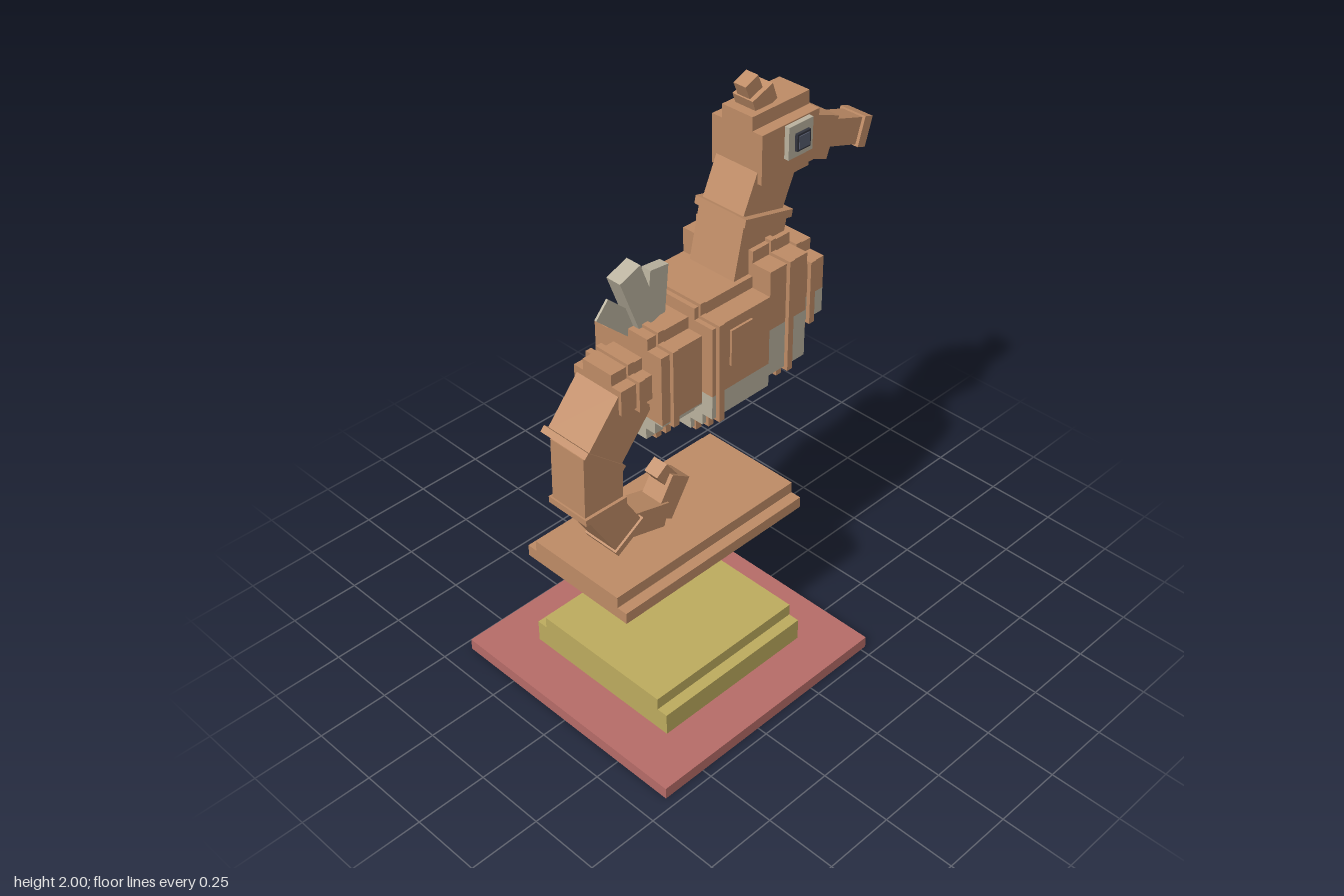
import * as THREE from 'three';

const paint = (name, color) => {
  const m = new THREE.MeshStandardMaterial({ color });
  m.name = name;
  return m;
};

export function createModel() {
  const root = new THREE.Group();
  root.name = 'seahorseStatue';
  const brown = paint('brown', 0xc08d67);
  const pale = paint('paleBelly', 0xbcb4a0);
  const red = paint('redBase', 0xb86d69);
  const yellow = paint('yellowPlinth', 0xbfad5f);
  const dark = paint('darkEyeRim', 0x33353f);
  const slate = paint('slatePupil', 0x565b6e);

  // Axis-aligned box given by its ranges
  const block = (name, mat, x0, x1, y0, y1, z0, z1) => {
    const m = new THREE.Mesh(new THREE.BoxGeometry(x1 - x0, y1 - y0, z1 - z0), mat);
    m.position.set((x0 + x1) / 2, (y0 + y1) / 2, (z0 + z1) / 2);
    m.name = name;
    root.add(m);
  };

  // Box running between two (z, y) points, with an optional collar at its end
  const beam = (name, mat, [z0, y0], [z1, y1], thick, half, collar) => {
    const dz = z1 - z0, dy = y1 - y0;
    const angle = Math.atan2(dz, dy);
    const add = (label, len, t, h, z, y) => {
      const m = new THREE.Mesh(new THREE.BoxGeometry(h * 2, len, t), mat);
      m.position.set(0, y, z);
      m.rotation.x = angle;
      m.name = label;
      root.add(m);
    };
    add(name, Math.hypot(dz, dy), thick, half, (z0 + z1) / 2, (y0 + y1) / 2);
    if (collar) add(name + 'Collar', collar[0], collar[1], collar[2], z1, y1);
  };

  // Slab with stepped corners, pale below the split height
  const stepped = (name, z0, z1, b, t, w, split) => {
    const low = split ? pale : brown;
    const mid = split || (b + t) / 2;
    [
      [b, b + 0.04, w * 0.5, low],
      [b + 0.04, b + 0.08, w * 0.77, low],
      [b + 0.08, mid, w, low],
      [mid, t - 0.04, w, brown],
      [t - 0.04, t, w * 0.6, brown],
    ].forEach(([y0, y1, h, mat]) => block(name, mat, -h, h, y0, y1, z0, z1));
  };

  // Separate base layers
  block('basePlate', red, -0.465, 0.465, 0, 0.042, -0.272, 0.661);
  block('plinthLower', yellow, -0.304, 0.304, 0.042, 0.122, -0.11, 0.499);
  block('plinthUpper', yellow, -0.264, 0.264, 0.122, 0.165, -0.11, 0.499);
  block('standLower', brown, -0.223, 0.223, 0.515, 0.555, -0.19, 0.58);
  block('standUpper', brown, -0.185, 0.185, 0.555, 0.595, -0.19, 0.58);

  // Body: z range, bottom, top, half width, colour split, ring position
  [
    ['rump', 0.173, 0.338, 1.0, 1.365, 0.14, 1.085, 0.293],
    ['middleBody', -0.07, 0.173, 0.963, 1.405, 0.182, 1.125, 0.146],
    ['shoulders', -0.229, -0.07, 1.0, 1.49, 0.182, 1.245, -0.15],
    ['chest', -0.353, -0.229, 1.085, 1.405, 0.14, 1.25, -0.292],
    ['tailRoot', 0.338, 0.46, 1.085, 1.29, 0.1, 0, 0.39],
  ].forEach(([name, z0, z1, b, t, w, split, ring]) => {
    stepped(name, z0, z1, b, t, w, split);
    stepped(name + 'Ring', ring - 0.011, ring + 0.011, b - 0.011, t + 0.011, w + 0.014, 0);
  });

  // Curled tail
  beam('tailUpper', brown, [0.39, 1.183], [0.525, 1.029], 0.165, 0.088, [0.022, 0.19, 0.096]);
  beam('tailMiddle', brown, [0.512, 1.06], [0.517, 0.833], 0.153, 0.072, [0.022, 0.165, 0.083]);
  beam('tailLower', brown, [0.517, 0.84], [0.412, 0.664], 0.125, 0.062, [0.022, 0.138, 0.07]);
  beam('tailBend', brown, [0.42, 0.687], [0.24, 0.638], 0.085, 0.05);
  beam('tailCurl', brown, [0.248, 0.622], [0.168, 0.746], 0.085, 0.042);
  beam('tailTip', brown, [0.19, 0.73], [0.237, 0.796], 0.053, 0.028);

  // Neck and head
  beam('neckLower', brown, [-0.091, 1.341], [-0.144, 1.569], 0.19, 0.092, [0.026, 0.207, 0.103]);
  beam('neckUpper', brown, [-0.133, 1.569], [-0.213, 1.743], 0.17, 0.083);
  block('head', brown, -0.1, 0.1, 1.69, 1.852, -0.353, -0.112);
  block('headTop', brown, -0.06, 0.06, 1.852, 1.897, -0.353, -0.112);
  block('jaw', brown, -0.068, 0.068, 1.652, 1.69, -0.35, -0.26);
  beam('snoutBase', brown, [-0.318, 1.759], [-0.456, 1.704], 0.137, 0.068);
  beam('snout', brown, [-0.45, 1.708], [-0.628, 1.651], 0.088, 0.04, [0.036, 0.1, 0.051]);
  beam('crestLower', brown, [-0.195, 1.89], [-0.175, 1.945], 0.088, 0.04);
  beam('crestUpper', brown, [-0.171, 1.925], [-0.146, 1.985], 0.056, 0.024);

  // Details on both sides
  for (const s of [-1, 1]) {
    const side = (name, mat, a, b, ...rest) =>
      block(name, mat, Math.min(s * a, s * b), Math.max(s * a, s * b), ...rest);
    side('eyeWhite', pale, 0.1, 0.117, 1.742, 1.848, -0.309, -0.206);
    side('eyeRim', dark, 0.117, 0.127, 1.764, 1.82, -0.289, -0.232);
    side('pupil', slate, 0.127, 0.13, 1.771, 1.813, -0.282, -0.239);
    side('flankPanel', brown, 0.182, 0.19, 1.205, 1.33, 0.01, 0.1);
  }

  // Back fin made of three spines
  beam('finRear', pale, [0.3, 1.35], [0.434, 1.473], 0.07, 0.004);
  beam('finMiddle', pale, [0.27, 1.36], [0.345, 1.562], 0.085, 0.028);
  beam('finFront', pale, [0.24, 1.35], [0.222, 1.528], 0.072, 0.018);
  return root;
}
